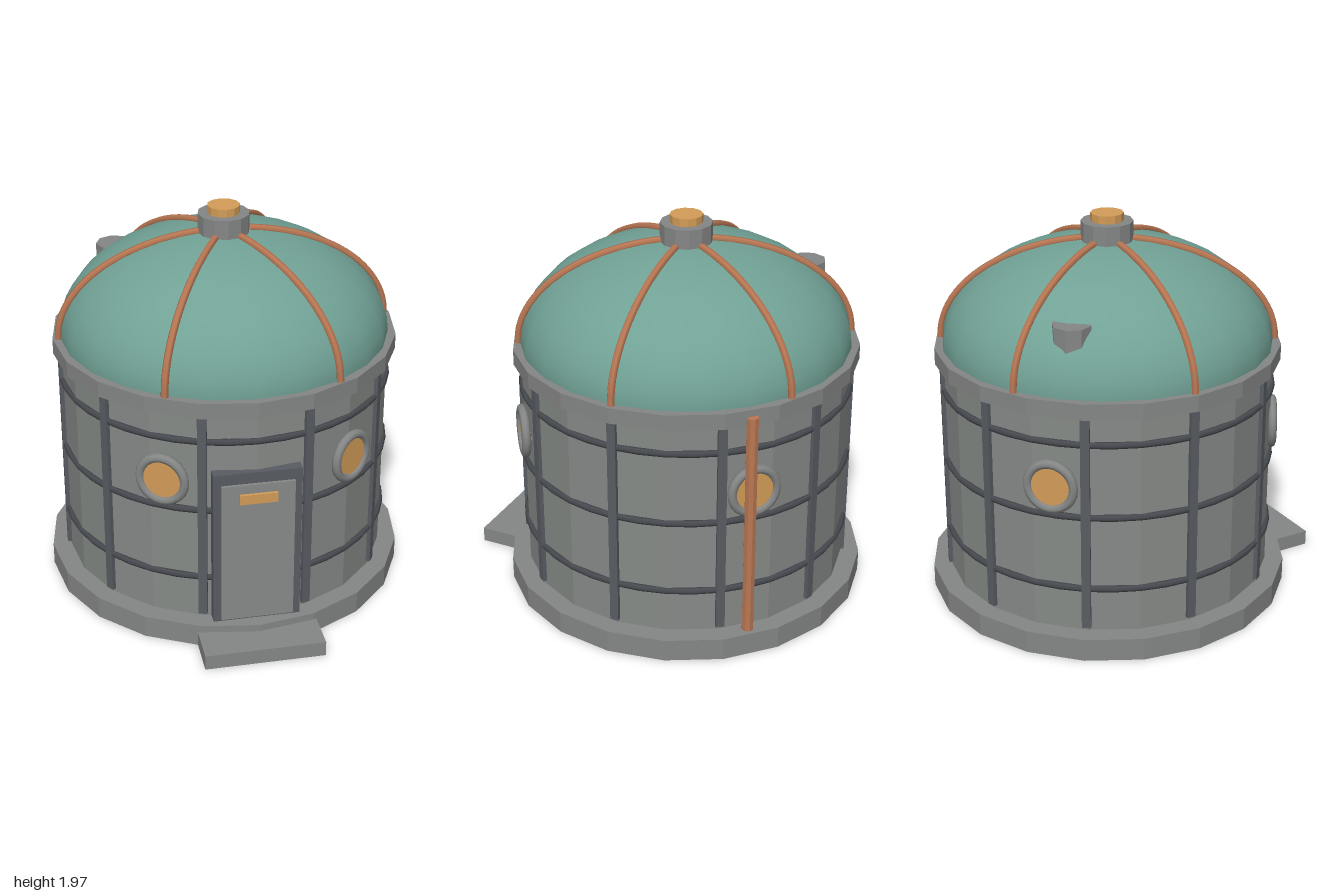
import * as THREE from 'three';

const mat = (name, color, extra = {}) => {
  const m = new THREE.MeshStandardMaterial({ color, ...extra });
  m.name = name;
  return m;
};

export function createModel() {
  const wallGrey = mat('wall grey', 0x868a87);
  const stone = mat('stone grey', 0x858786);
  const iron = mat('dark iron', 0x585c62);
  const bandIron = mat('band iron', 0x474a4f);
  const verdigris = mat('verdigris', 0x71a195);
  const copper = mat('copper', 0xb97753);
  const amber = mat('amber', 0xd39c58);

  const model = new THREE.Group();
  model.name = 'domedHut';
  const tower = new THREE.Group();
  tower.name = 'tower';
  tower.position.z = -0.075;
  model.add(tower);

  const add = (parent, name, geometry, material, x = 0, y = 0, z = 0) => {
    const mesh = new THREE.Mesh(geometry, material);
    mesh.name = name;
    mesh.position.set(x, y, z);
    parent.add(mesh);
    return mesh;
  };
  // Vertical prism between two heights, with flat sides
  const drum = (parent, name, r, y0, y1, sides, material, x = 0, z = 0) => {
    const g = new THREE.CylinderGeometry(r, r, y1 - y0, sides).toNonIndexed();
    g.computeVertexNormals();
    return add(parent, name, g, material, x, (y0 + y1) / 2, z);
  };
  // Box given by its extents
  const block = (parent, name, x0, x1, y0, y1, z0, z1, material) =>
    add(parent, name, new THREE.BoxGeometry(x1 - x0, y1 - y0, z1 - z0), material,
      (x0 + x1) / 2, (y0 + y1) / 2, (z0 + z1) / 2);
  // Group turned about the tower axis, its +z pointing outward (degrees from the front)
  const spoke = (name, degrees) => {
    const g = new THREE.Group();
    g.name = name;
    g.rotation.y = THREE.MathUtils.degToRad(degrees);
    tower.add(g);
    return g;
  };

  // Masonry drums
  drum(tower, 'base', 0.925, 0, 0.115, 20, stone);
  drum(tower, 'wall', 0.83, 0.115, 1.24, 20, wallGrey);
  drum(tower, 'rim', 0.87, 1.24, 1.32, 20, stone);

  // Dome
  const dome = new THREE.SphereGeometry(1, 24, 12, 0, Math.PI * 2, 0, Math.PI / 2);
  dome.scale(0.83, 0.52, 0.83);
  add(tower, 'dome', dome, verdigris, 0, 1.32, 0);

  // Wall posts and hoops
  for (let i = 0; i < 10; i++) {
    block(spoke('post', 18 + i * 36), 'postBar', -0.022, 0.022, 0.135, 1.235, 0.805, 0.847, iron);
  }
  for (const y of [0.345, 0.725, 1.1]) {
    const hoop = new THREE.TorusGeometry(0.83, 0.017, 6, 40);
    hoop.rotateX(Math.PI / 2);
    add(tower, 'hoop', hoop, bandIron, 0, y, 0);
  }

  // Copper ribs over the dome
  const ribPoints = [];
  for (let i = 0; i <= 14; i++) {
    const a = (i / 14) * 1.5;
    ribPoints.push(new THREE.Vector3(0, 1.32 + 0.525 * Math.sin(a), 0.84 * Math.cos(a)));
  }
  const rib = new THREE.TubeGeometry(new THREE.CatmullRomCurve3(ribPoints), 24, 0.019, 6);
  for (let i = 0; i < 6; i++) add(spoke('rib', 30 + i * 60), 'ribTube', rib, copper);

  // Crown
  drum(tower, 'crown', 0.13, 1.82, 1.93, 12, stone);
  drum(tower, 'crownCap', 0.082, 1.93, 1.97, 12, amber);

  // Roof vent, mostly sunk in the dome
  drum(tower, 'roofVent', 0.095, 1.4, 1.63, 8, stone, -0.49, -0.455);

  // Portholes
  for (const angle of [37, 137, -31.5, -137.5]) {
    const porthole = spoke('porthole', angle);
    add(porthole, 'portholeRing', new THREE.TorusGeometry(0.115, 0.023, 8, 24), stone, 0, 0.875, 0.838);
    const glass = new THREE.CylinderGeometry(0.108, 0.108, 0.04, 24);
    glass.rotateX(Math.PI / 2);
    add(porthole, 'portholeGlass', glass, amber, 0, 0.875, 0.825);
  }

  // Drainpipe
  drum(spoke('drainpipe', 135), 'pipe', 0.03, 0.115, 1.285, 8, copper, 0, 0.865);

  // Door and doorstep
  block(model, 'doorFrame', -0.217, 0.217, 0.11, 0.945, 0.68, 0.78, iron);
  block(model, 'doorPanel', -0.18, 0.18, 0.13, 0.887, 0.7, 0.795, wallGrey);
  block(model, 'doorPlate', -0.093, 0.093, 0.79, 0.84, 0.78, 0.81, amber);
  block(model, 'doorstep', -0.3, 0.3, 0, 0.078, 0.7, 1, stone);

  return model;
}
